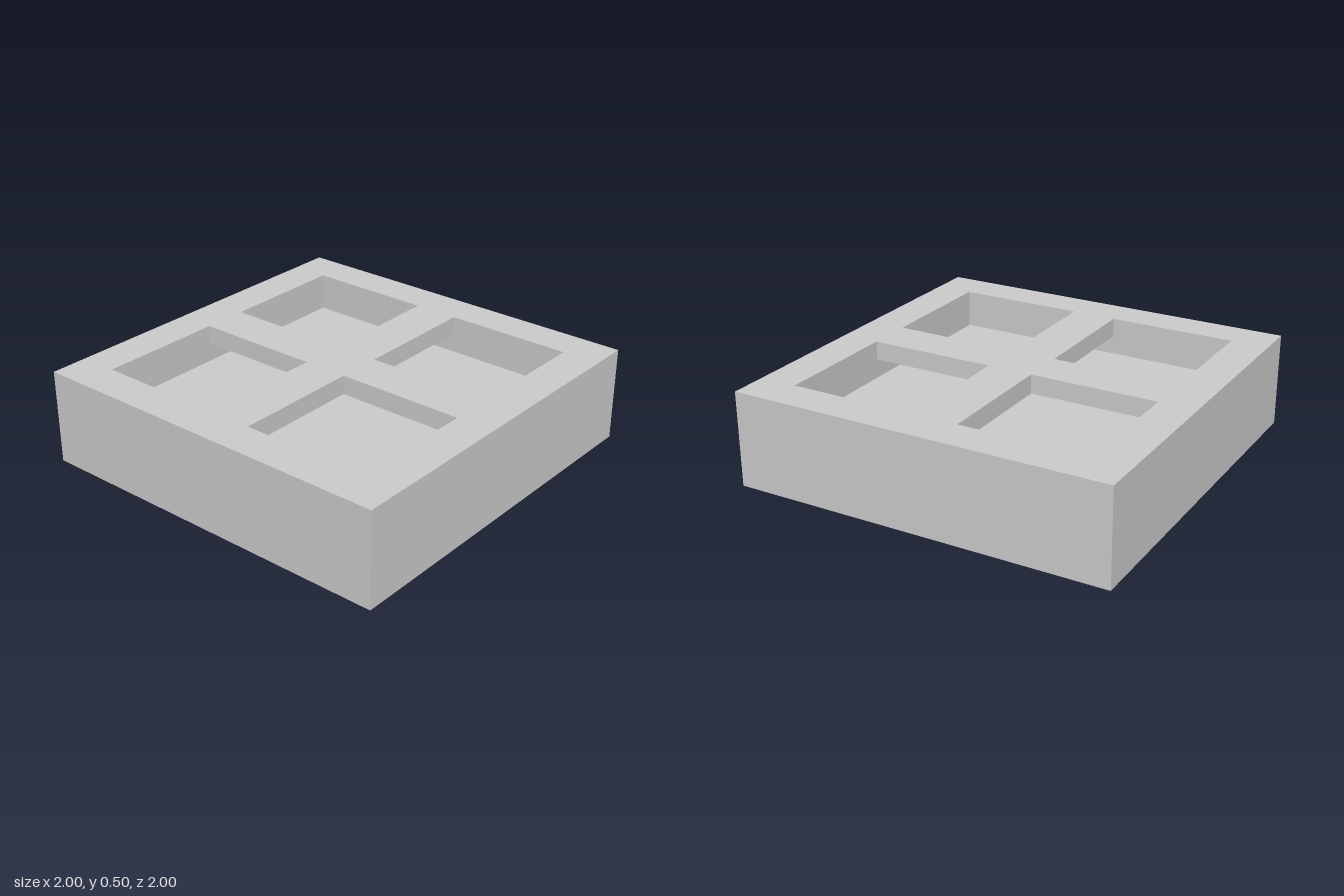
import * as THREE from 'three';

const HALF = 1, INNER = 0.8, BAR = 0.12;          // half widths in plan
const HEIGHT = 0.5, FLOOR = 0.3, BAR_BOTTOM = 0.4; // levels

const material = new THREE.MeshStandardMaterial({ color: 0xcccccc, flatShading: true });

const square = (h) => [[-h, -h], [h, -h], [h, h], [-h, h]].map(([x, y]) => new THREE.Vector2(x, y));

// Extrudes a plan outline upwards between two levels
function slab(name, shape, bottom, top) {
  const geometry = new THREE.ExtrudeGeometry(shape, { depth: top - bottom, bevelEnabled: false });
  geometry.rotateX(-Math.PI / 2).translate(0, bottom, 0);
  const mesh = new THREE.Mesh(geometry, material);
  mesh.name = name;
  return mesh;
}

export function createModel() {
  const group = new THREE.Group();
  group.name = 'dividedTray';

  // Outer walls: square ring over the full height
  const ring = new THREE.Shape(square(HALF));
  ring.holes.push(new THREE.Path(square(INNER)));
  group.add(slab('outerWalls', ring, 0, HEIGHT));

  // Thick floor inside the ring
  group.add(slab('floor', new THREE.Shape(square(INNER)), 0, FLOOR));

  // Cross divider bridging the opening, with a gap left beneath it
  const outline = [];
  for (let i = 0; i < 4; i++) {
    for (const [x, y] of [[INNER, -BAR], [INNER, BAR], [BAR, BAR]]) {
      outline.push(new THREE.Vector2(x, y).rotateAround(new THREE.Vector2(), i * Math.PI / 2));
    }
  }
  group.add(slab('crossDivider', new THREE.Shape(outline), BAR_BOTTOM, HEIGHT));

  return group;
}
